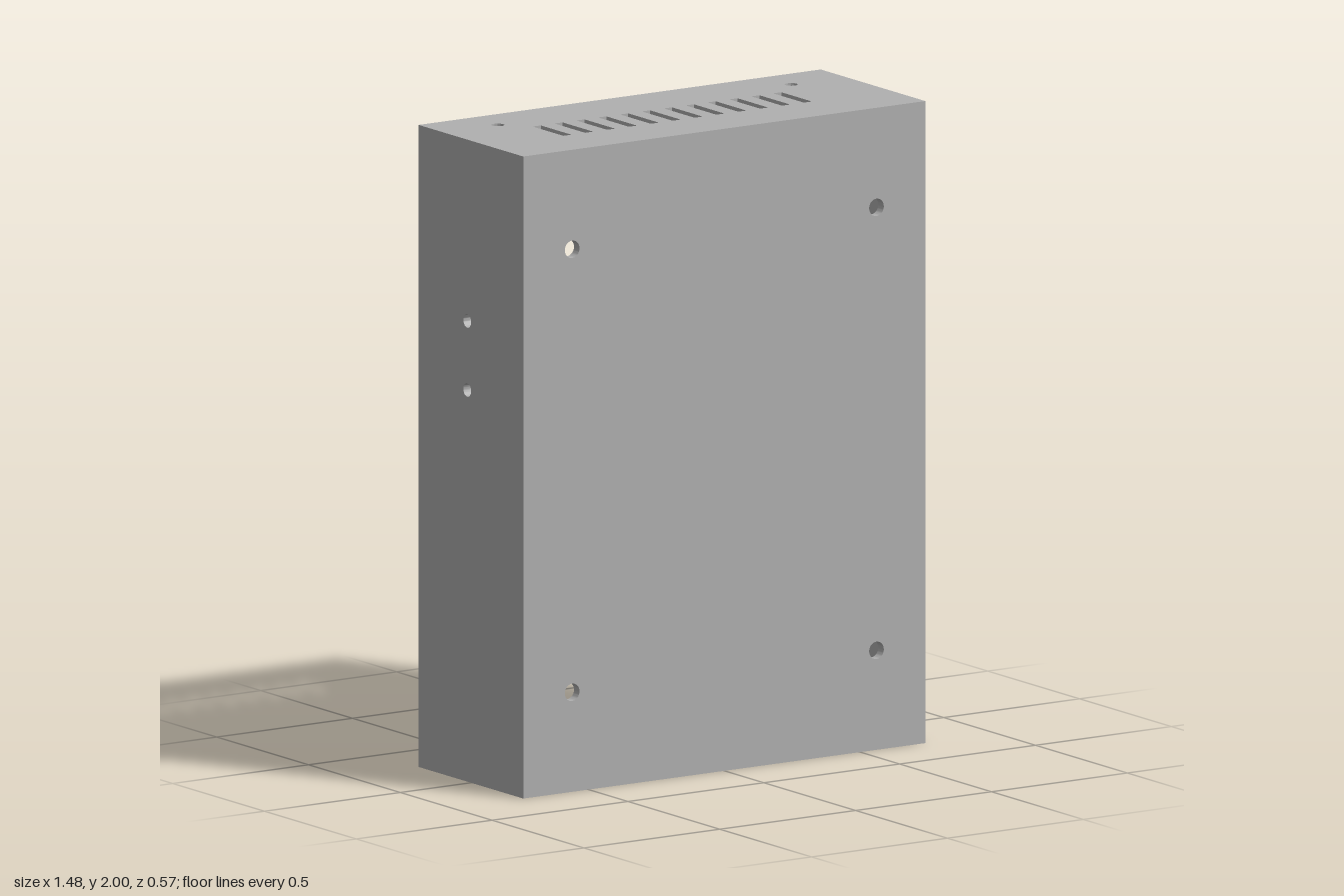
import * as THREE from 'three';
import { toCreasedNormals } from 'three/addons/utils/BufferGeometryUtils.js';

const W = 1.48, H = 2, D = 0.57, T = 0.03; // outer size and wall thickness

const grey = new THREE.MeshStandardMaterial({ color: 0xb0b0b0 });
grey.name = 'enclosure grey';

const circle = (x, y, r) => new THREE.Path().absarc(x, y, r, 0, Math.PI * 2, true);

function rect(x0, y0, x1, y1, PathType = THREE.Path) {
  const p = new PathType();
  p.moveTo(x0, y0);
  p.lineTo(x1, y0);
  p.lineTo(x1, y1);
  p.lineTo(x0, y1);
  p.closePath();
  return p;
}

function extrude(shape, depth, holes = []) {
  shape.holes = holes;
  const geo = new THREE.ExtrudeGeometry(shape, { depth, bevelEnabled: false, curveSegments: 20 });
  return toCreasedNormals(geo, 0.6);
}

// Row of upright slots centred on x = cx
function slots(count, cx, pitch, width, z0, z1) {
  return Array.from({ length: count }, (_, i) => {
    const x = cx + (i - (count - 1) / 2) * pitch;
    return rect(x - width / 2, z0, x + width / 2, z1);
  });
}

export function createModel() {
  const model = new THREE.Group();
  model.name = 'enclosure';
  const add = (name, geo, x = 0, y = 0, z = 0) => {
    const mesh = new THREE.Mesh(geo, grey);
    mesh.name = name;
    mesh.position.set(x, y, z);
    model.add(mesh);
  };

  // Front panel with four mounting holes
  const mounts = [];
  for (const x of [-0.56, 0.56]) for (const y of [0.31, 1.69]) mounts.push(circle(x, y, 0.027));
  add('frontPanel', extrude(rect(-W / 2, 0, W / 2, H, THREE.Shape), T, mounts), 0, 0, D / 2 - T);

  // Top and bottom panels: shape y becomes z, thickness runs downward
  const back = -D / 2, inner = D / 2 - T;
  const flat = holes => extrude(rect(-W / 2, back, W / 2, inner, THREE.Shape), T, holes).rotateX(Math.PI / 2);
  add('topPanel', flat([
    ...slots(12, -0.008, 0.0805, 0.03, -0.07, 0.097),
    circle(-0.54, -0.15, 0.02), circle(0.54, -0.15, 0.02),
  ]), 0, H, 0);
  add('bottomPanel', flat([
    ...slots(12, 0, 0.101, 0.03, 0.14, 0.22),
    circle(0.485, -0.022, 0.113), circle(0.037, -0.022, 0.113),
    circle(-0.282, -0.02, 0.069), circle(-0.519, -0.02, 0.069),
  ]), 0, T, 0);

  // Side panels: shape x becomes z, thickness runs toward -x
  const side = holes => extrude(rect(back, T, inner, H - T, THREE.Shape), T, holes).rotateY(-Math.PI / 2);
  add('leftPanel', side([]), W / 2, 0, 0);
  add('rightPanel', side([circle(-0.02, 1.22, 0.021), circle(-0.02, 1.435, 0.021)]), -W / 2 + T, 0, 0);

  // Screw posts along both sides, rounded inward and joined to the wall
  const postShape = () => {
    const s = new THREE.Shape();
    s.moveTo(0.036, 0.04);
    s.lineTo(0, 0.04);
    s.absarc(0, 0, 0.04, Math.PI / 2, Math.PI * 1.5, false);
    s.lineTo(0.036, -0.04);
    s.closePath();
    return s;
  };
  const bore = 0.2;
  for (const s of [1, -1]) {
    const turn = s > 0 ? 0 : Math.PI;
    for (const y of [0.065, 1, 1.935]) {
      add('screwPostBore', extrude(postShape(), bore, [circle(0, 0, 0.02)]).rotateZ(turn), s * 0.675, y, back);
      add('screwPost', extrude(postShape(), D - T - bore, []).rotateZ(turn), s * 0.675, y, back + bore);
    }
    // Short hollow standoffs on the inside of the front panel
    for (const y of [0.145, 1.855]) {
      const ring = new THREE.Shape().absarc(0, 0, 0.05, 0, Math.PI * 2, false);
      add('standoff', extrude(ring, 0.05, [circle(0, 0, 0.026)]), s * 0.59, y, inner - 0.05);
    }
  }
  return model;
}
